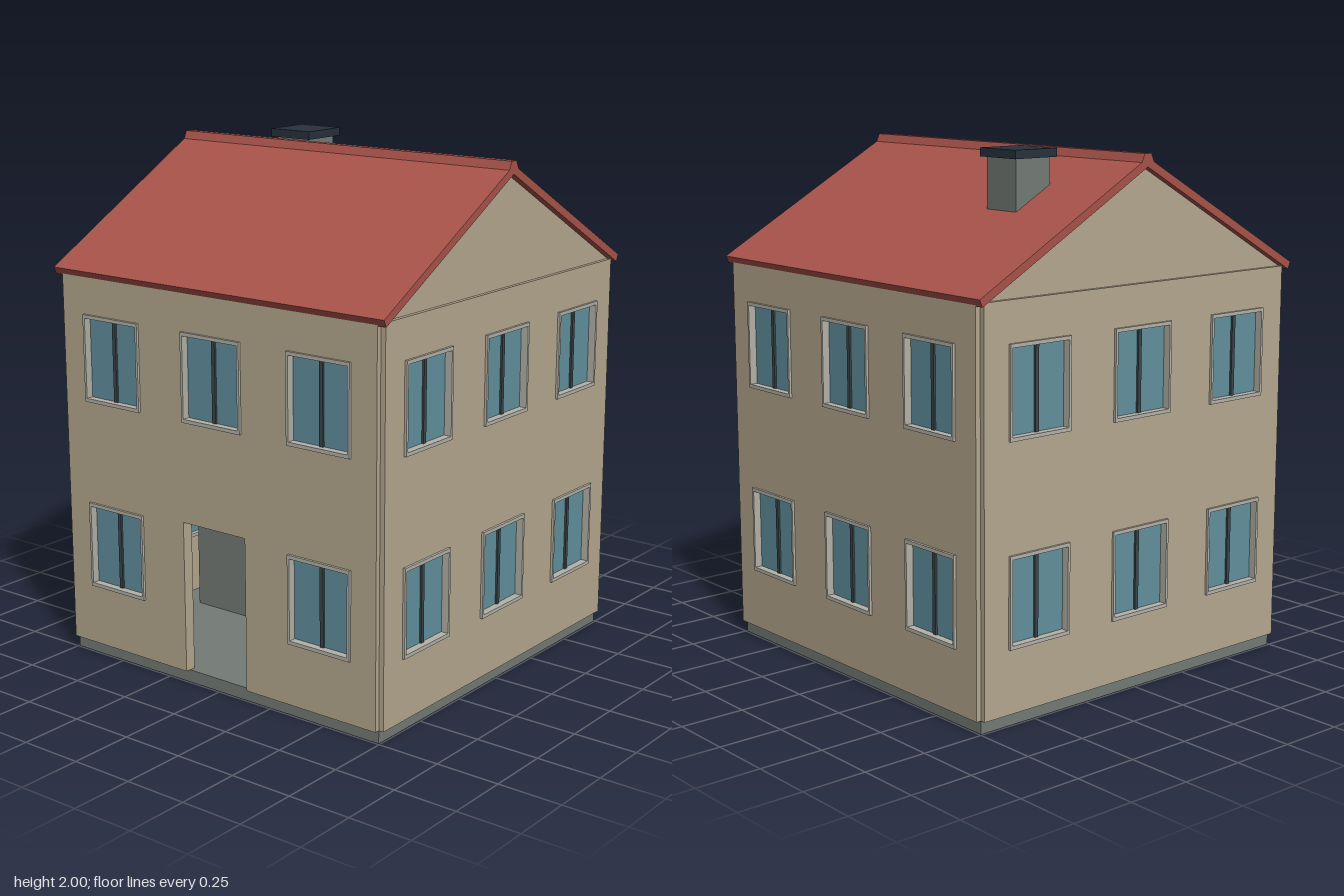
import * as THREE from 'three';

const mat = (color) => new THREE.MeshStandardMaterial({ color });
const mats = {
  wall: mat(0xb5a88f), roof: mat(0xa9534a), stone: mat(0x747b76), frame: mat(0xb4b2a8),
  glass: mat(0x62919e), mullion: mat(0x3b464a), cap: mat(0x28313c),
};

function add(parent, name, geometry, material, x = 0, y = 0, z = 0) {
  const mesh = new THREE.Mesh(geometry, material);
  mesh.name = name;
  mesh.position.set(x, y, z);
  parent.add(mesh);
  return mesh;
}

// Box given by its minimum and maximum corners
function box(parent, name, material, [x0, y0, z0], [x1, y1, z1]) {
  const g = new THREE.BoxGeometry(x1 - x0, y1 - y0, z1 - z0);
  return add(parent, name, g, material, (x0 + x1) / 2, (y0 + y1) / 2, (z0 + z1) / 2);
}

const polygon = (points) => new THREE.Shape(points.map(([x, y]) => new THREE.Vector2(x, y)));
const rect = (x0, y0, x1, y1) => [[x0, y0], [x1, y0], [x1, y1], [x0, y1]];
const extrude = (shape, depth) => new THREE.ExtrudeGeometry(shape, { depth, bevelEnabled: false });

const HALF = 0.745;                 // half width of base and walls
const OUT = 0.765, IN = 0.72;       // outer and inner wall planes
const WIN_W = 0.14, WIN_H = 0.17;   // half size of a window with its frame

// Window: raised frame, two recessed panes and a dark centre post
function makeWindow(x, y) {
  const win = new THREE.Group();
  win.name = 'window';
  win.position.set(x, y, 0);
  const ring = polygon(rect(-WIN_W, -WIN_H, WIN_W, WIN_H));
  ring.holes.push(polygon(rect(-0.13, -0.156, 0.13, 0.156)));
  add(win, 'windowFrame', extrude(ring, 0.062), mats.frame, 0, 0, IN - 0.007);
  box(win, 'centrePost', mats.mullion, [-0.008, -0.156, 0.725], [0.008, 0.156, 0.753]);
  for (const s of [-1, 1]) {
    add(win, 'pane', new THREE.BoxGeometry(0.122, 0.312, 0.012), mats.glass, s * 0.069, 0, 0.739);
  }
  return win;
}

// One outer wall facing +z, with openings for six windows or five and a door
function makeWall(name, hasDoor) {
  const wall = new THREE.Group();
  wall.name = name;
  const top = 1.525;
  const outline = hasDoor
    ? [[-HALF, 0.05], [-0.15, 0.05], [-0.15, 0.645], [0.15, 0.645], [0.15, 0.05],
      [HALF, 0.05], [HALF, top], [-HALF, top]]
    : rect(-HALF, 0.05, HALF, top);
  const shape = polygon(outline);
  for (const y of [0.46, 1.205]) {
    for (const x of [-0.495, 0, 0.495]) {
      if (hasDoor && x === 0 && y < 1) continue;
      shape.holes.push(polygon(rect(x - WIN_W, y - WIN_H, x + WIN_W, y + WIN_H)));
      wall.add(makeWindow(x, y));
    }
  }
  add(wall, 'wallPanel', extrude(shape, OUT - IN), mats.wall, 0, 0, IN);
  return wall;
}

export function createModel() {
  const house = new THREE.Group();
  house.name = 'house';

  // Base and inner floors
  box(house, 'base', mats.stone, [-HALF, 0, -HALF], [HALF, 0.05, HALF]);
  box(house, 'upperFloor', mats.stone, [-0.73, 0.76, -0.73], [0.73, 0.81, 0.73]);
  box(house, 'ceiling', mats.stone, [-0.73, 1.48, -0.73], [0.73, 1.52, 0.73]);
  box(house, 'innerCore', mats.stone, [-0.6, 0.05, -0.2], [-0.29, 0.76, 0.19]);

  // Four walls around the base
  ['frontWall', 'leftWall', 'backWall', 'rightWall'].forEach((name, i) => {
    const wall = makeWall(name, i === 0);
    wall.rotation.y = i * Math.PI / 2;
    house.add(wall);
  });

  // Gables above the side walls
  for (const s of [-1, 1]) {
    const gable = extrude(polygon([[-HALF, 1.525], [HALF, 1.525], [0, 1.945]]), 0.03);
    gable.translate(0, 0, -0.015).rotateY(Math.PI / 2);
    add(house, s > 0 ? 'leftGable' : 'rightGable', gable, mats.wall, s * 0.735, 0, 0);
  }

  // Roof: sloped slabs with a raised ridge, extruded along x
  const side = [[0.763, 1.513], [0.775, 1.54], [0.03, 1.957], [0.016, 1.988]];
  const mirrored = side.map(([z, y]) => [-z, y]).reverse();
  const roof = extrude(polygon([[0, 1.94], ...side, ...mirrored]), 1.56);
  roof.translate(0, 0, -0.78).rotateY(Math.PI / 2);
  add(house, 'roof', roof, mats.roof);

  // Chimney on the back slope
  box(house, 'chimney', mats.stone, [-0.47, 1.6, -0.348], [-0.31, 1.97, -0.188]);
  box(house, 'chimneyCap', mats.cap, [-0.487, 1.968, -0.366], [-0.292, 2, -0.17]);

  return house;
}
